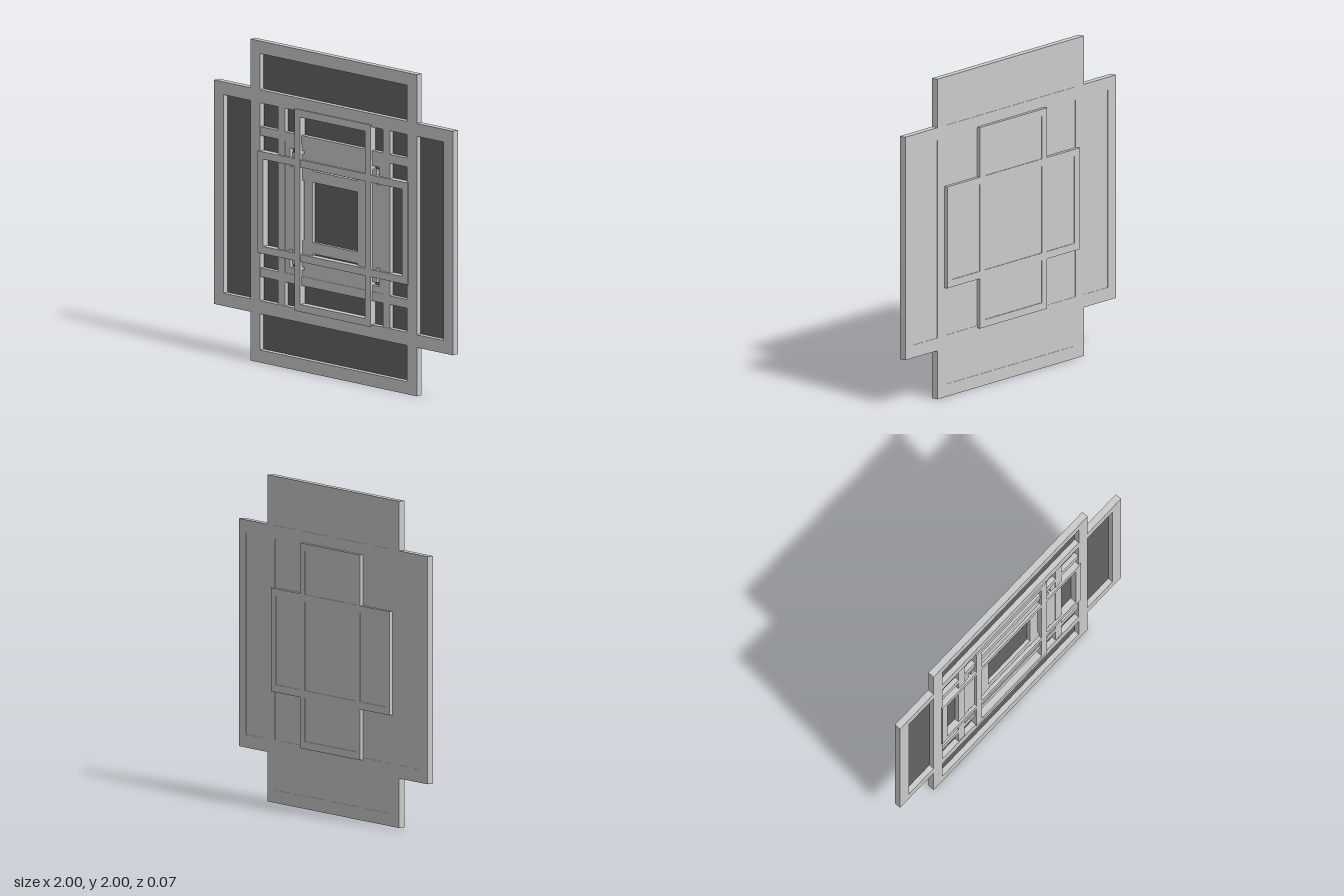
import * as THREE from 'three';

const CY = 1; // height of the panel centre
const grey = new THREE.MeshStandardMaterial({ color: 0xcccccc });
const dark = new THREE.MeshStandardMaterial({ color: 0x646464 });

// Rectangle corners, measured from the panel centre
const rect = (x0, x1, y0, y1) => [[x0, y0], [x1, y0], [x1, y1], [x0, y1]];
const centred = (w, h) => rect(-w, w, -h, h);

// Plus-shaped outline made of a tall and a wide rectangle
const cross = (a, b) => [
  [-a, -b], [a, -b], [a, -a], [b, -a], [b, a], [a, a],
  [a, b], [-a, b], [-a, a], [-b, a], [-b, -a], [-a, -a],
];

// Copies of a hole on all four sides, or in all four corners
const turned = (pts) => [0, 1, 2, 3].map((k) => pts.map(([x, y]) =>
  [[x, y], [-y, x], [-x, -y], [y, -x]][k]));

const toVectors = (pts) => pts.map(([x, y]) => new THREE.Vector2(x, y + CY));

// Flat plate with holes between two depths
function plate(name, outline, holes, z0, z1, material = grey) {
  const shape = new THREE.Shape(toVectors(outline));
  for (const h of holes) shape.holes.push(new THREE.Path(toVectors(h)));
  const geo = new THREE.ExtrudeGeometry(shape, { depth: z1 - z0, bevelEnabled: false });
  geo.translate(0, 0, z0);
  const mesh = new THREE.Mesh(geo, material);
  mesh.name = name;
  return mesh;
}

export function createModel() {
  const group = new THREE.Group();
  group.name = 'latticePanel';

  // Two large crossing frames, joined into one border
  group.add(plate('outerFrame', cross(0.697, 1),
    [...turned(rect(-0.617, 0.617, 0.697, 0.922)), centred(0.615, 0.615)], -0.015, 0.028));

  // Dark infill with a grey back sheet
  group.add(plate('darkInfill', cross(0.617, 0.922), [], -0.009, -0.006, dark));
  group.add(plate('backSheet', cross(0.617, 0.922), [], -0.013, -0.009));

  // Lattice bars that reach from the border to the middle
  group.add(plate('lattice', centred(0.62, 0.62), [
    ...turned(rect(-0.412, 0.412, 0.467, 0.615)),
    ...turned(rect(0.467, 0.615, 0.467, 0.615)),
    centred(0.41, 0.41),
  ], -0.008, 0.024));

  // Stepped square rings in the middle
  const corner = [[0.257, 0.35], [0.35, 0.35], [0.35, 0.257],
    [0.372, 0.257], [0.372, 0.372], [0.257, 0.372]];
  group.add(plate('middleRing', centred(0.412, 0.412),
    [...turned(corner), centred(0.3, 0.3)], -0.008, 0.02));
  group.add(plate('innerRing', centred(0.305, 0.305), [
    ...turned(rect(-0.187, 0.187, 0.257, 0.272)),
    centred(0.187, 0.187),
  ], -0.008, 0.016));

  // Two thin raised frames crossing each other, showing on both sides
  const frames = [['tallFrame', 0.317, 0.628, 0], ['wideFrame', 0.628, 0.317, 0.0008]];
  for (const [name, w, h, inset] of frames) {
    group.add(plate(name, centred(w, h), [centred(w - 0.046, h - 0.046)],
      -0.037 + inset, 0.037 - inset));
  }

  // Back sheet recessed inside the raised frames
  group.add(plate('raisedBackSheet', cross(0.29, 0.6), [], -0.032, -0.014));

  return group;
}
